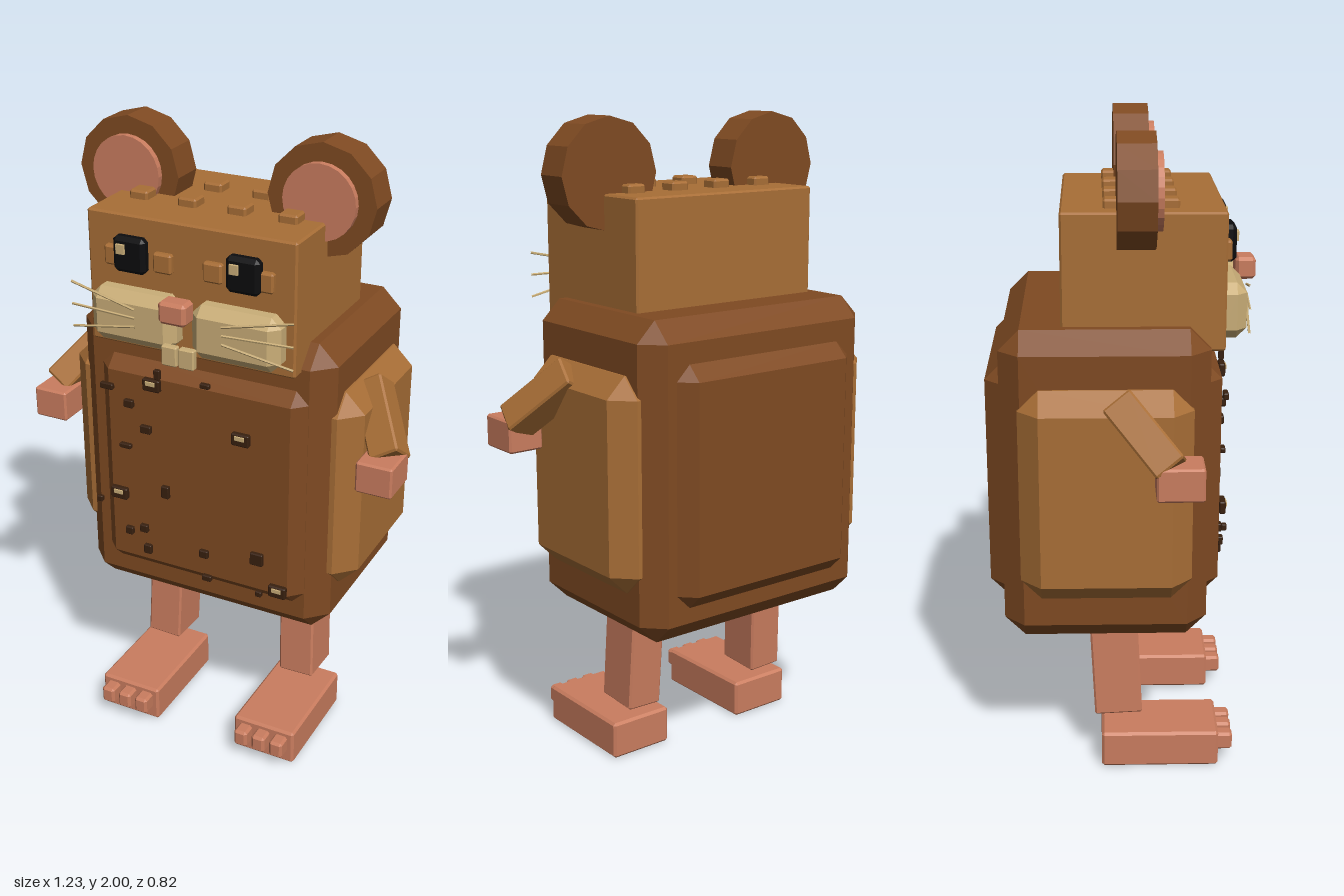
import * as THREE from 'three';
import { ConvexGeometry } from 'three/addons/geometries/ConvexGeometry.js';

const mat = (name, color) => {
  const m = new THREE.MeshStandardMaterial({ color, flatShading: true });
  m.name = name;
  return m;
};

// Box with all edges chamfered by b
function chamferBox(w, h, d, b) {
  const pts = [];
  for (const x of [-1, 1]) for (const y of [-1, 1]) for (const z of [-1, 1]) {
    const p = [x * w / 2, y * h / 2, z * d / 2];
    for (let k = 0; k < 3; k++) {
      const q = [p[0] - x * b, p[1] - y * b, p[2] - z * b];
      q[k] = p[k];
      pts.push(new THREE.Vector3(...q));
    }
  }
  return new ConvexGeometry(pts);
}

export function createModel() {
  const fur = mat('darkFur', 0x7f4a22);
  const tan = mat('tanFur', 0xa86e36);
  const skin = mat('pinkSkin', 0xca7d5f);
  const cream = mat('cream', 0xcaae78);
  const black = mat('eyeBlack', 0x0c0c0e);
  const dark = mat('darkSpot', 0x38200f);

  const model = new THREE.Group();
  model.name = 'mouse';
  const add = (name, geo, material, x, y, z) => {
    const mesh = new THREE.Mesh(geo, material);
    mesh.name = name;
    mesh.position.set(x, y, z);
    model.add(mesh);
    return mesh;
  };
  const box = (name, material, w, h, d, x, y, z, b = 0.006) =>
    add(name, chamferBox(w, h, d, b), material, x, y, z);

  // Body with raised belly and back panels
  box('body', fur, 0.845, 0.97, 0.615, 0, 0.965, -0.057, 0.062);
  box('bellyPanel', fur, 0.7, 0.735, 0.2, 0.016, 0.957, 0.19, 0.046);
  box('backPanel', fur, 0.66, 0.735, 0.2, 0, 0.957, -0.31, 0.046);

  // Head
  box('head', tan, 0.667, 0.405, 0.477, 0, 1.577, 0.055, 0.006);
  for (const x of [-0.24, -0.08, 0.08, 0.24]) {
    for (const z of [-0.03, 0.13]) box('headStud', tan, 0.06, 0.05, 0.06, x, 1.78, z);
    box('faceStud', tan, 0.06, 0.06, 0.04, x, 1.655, 0.292);
  }
  box('nose', skin, 0.088, 0.068, 0.062, 0, 1.55, 0.376, 0.01);

  for (const s of [-1, 1]) {
    const side = s > 0 ? 'left' : 'right';

    // Flank panel
    box(side + 'Flank', tan, 0.2, 0.655, 0.51, s * 0.39, 0.962, -0.055, 0.062);

    // Ear disc and pink inner disc
    const ear = add(side + 'Ear', new THREE.CylinderGeometry(0.167, 0.167, 0.11, 12), fur, s * 0.311, 1.835, 0.033);
    ear.rotation.x = Math.PI / 2;
    const inner = add(side + 'InnerEar', new THREE.CylinderGeometry(0.112, 0.112, 0.04, 24), skin, s * 0.311, 1.835, 0.088);
    inner.rotation.x = Math.PI / 2;

    // Eye with glint
    box(side + 'Eye', black, 0.105, 0.108, 0.04, s * 0.181, 1.668, 0.308, 0.012);
    box(side + 'EyeGlint', cream, 0.028, 0.03, 0.008, s * 0.181 - 0.022, 1.687, 0.331, 0.001);

    // Cheek, tooth and whiskers
    box(side + 'Cheek', cream, 0.28, 0.165, 0.1, s * 0.165, 1.482, 0.307, 0.03);
    box(side + 'Tooth', cream, 0.05, 0.062, 0.024, s * 0.028, 1.405, 0.363, 0.004);
    for (const k of [-1, 0, 1]) {
      const path = new THREE.LineCurve3(
        new THREE.Vector3(s * 0.14, 1.5 + k * 0.026, 0.369),
        new THREE.Vector3(s * 0.357, 1.503 + k * 0.07, 0.357));
      add(side + 'Whisker', new THREE.TubeGeometry(path, 1, 0.004, 5), cream, 0, 0, 0);
    }

    // Arm reaching outward and forward, with hand
    const arm = box(side + 'Arm', tan, 0.095, 0.25, 0.1, s * 0.51, 1.18, 0.055);
    arm.quaternion.setFromUnitVectors(
      new THREE.Vector3(0, -1, 0), new THREE.Vector3(s * 0.13, -0.17, 0.16).normalize());
    box(side + 'Hand', skin, 0.115, 0.1, 0.137, s * 0.555, 1.067, 0.153);

    // Leg, foot and toes
    const leg = box(side + 'Leg', skin, 0.12, 0.36, 0.15, s * 0.247, 0.345, -0.025);
    leg.rotation.set(-0.05, 0, s * 0.03);
    box(side + 'Foot', skin, 0.213, 0.12, 0.37, s * 0.25, 0.06, 0.115, 0.008);
    for (const t of [-0.063, 0, 0.063])
      box(side + 'Toe', skin, 0.046, 0.058, 0.06, s * 0.25 + t, 0.073, 0.316, 0.008);
  }

  // Belly spots: x, y, width, height
  const spots = [
    [-0.11, 1.3, 0.021, 0.032], [0.05, 1.297, 0.032, 0.016], [-0.287, 1.227, 0.045, 0.02],
    [-0.212, 1.183, 0.032, 0.026], [-0.155, 1.107, 0.037, 0.026], [-0.228, 1.035, 0.04, 0.016],
    [-0.092, 0.904, 0.027, 0.042], [-0.33, 0.822, 0.02, 0.02], [-0.172, 0.753, 0.028, 0.027],
    [-0.225, 0.732, 0.027, 0.027], [-0.16, 0.68, 0.027, 0.032], [0.04, 0.717, 0.03, 0.027],
    [0.222, 0.75, 0.042, 0.042], [0.05, 0.632, 0.032, 0.02], [0.23, 0.627, 0.02, 0.02],
  ];
  for (const [x, y, w, h] of spots) box('bellySpot', dark, w, h, 0.016, x, y, 0.301, 0.003);

  // Larger spots with a pale mark
  for (const [x, y] of [[-0.13, 1.262], [0.167, 1.148], [-0.256, 0.862], [0.293, 0.653]]) {
    box('largeBellySpot', dark, 0.058, 0.04, 0.02, x, y, 0.301, 0.004);
    box('spotMark', cream, 0.032, 0.014, 0.006, x, y + 0.007, 0.312, 0.001);
  }

  return model;
}
